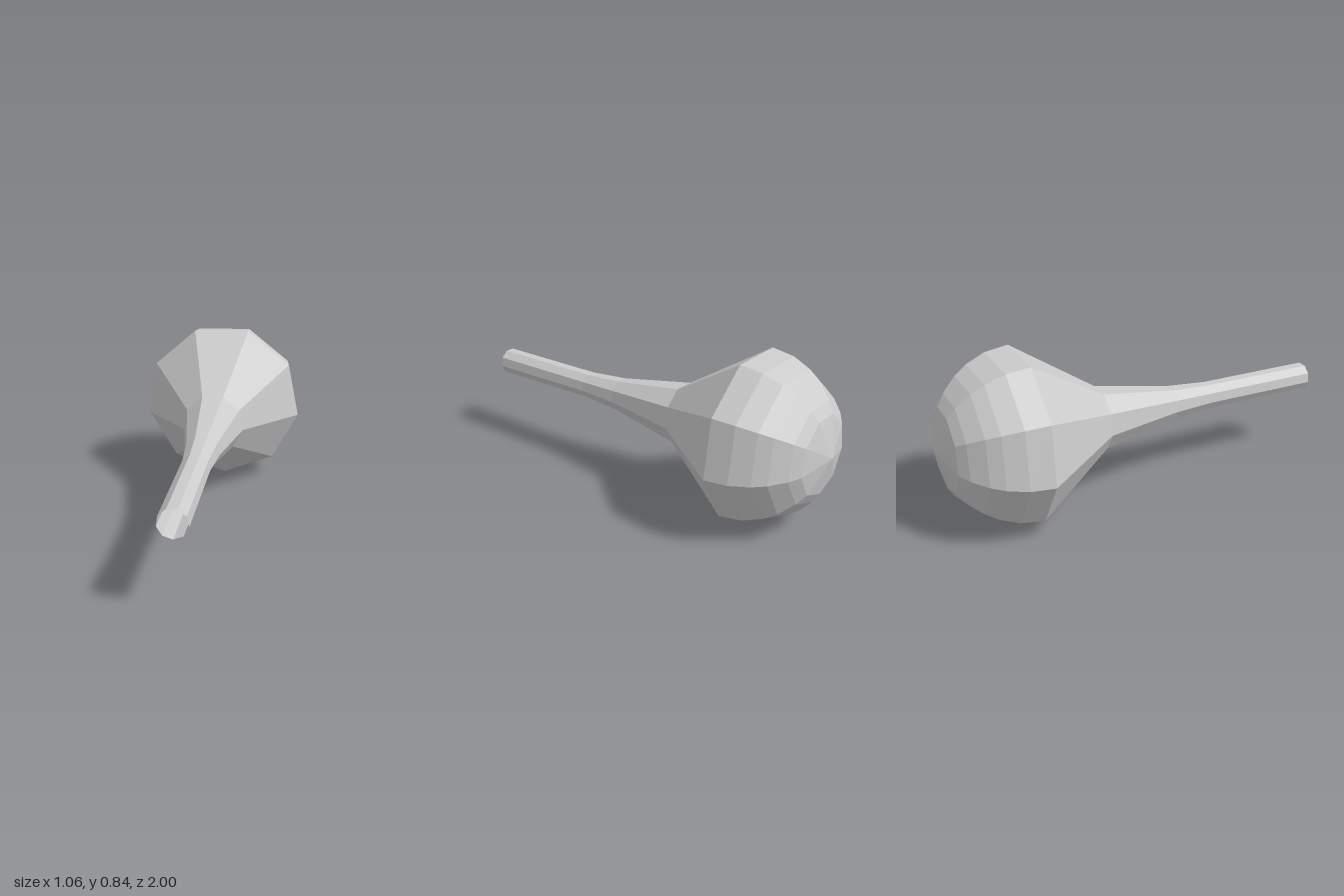
import * as THREE from 'three';

const SIDES = 9;
const deg = THREE.MathUtils.degToRad;

export function createModel() {
  const material = new THREE.MeshStandardMaterial({
    color: 0xcccccc, flatShading: true, side: THREE.DoubleSide,
  });
  const model = new THREE.Group();
  model.name = 'bulbWithTube';

  // Turned section around the long axis; each point is [radius, distance along axis]
  const addTurned = (name, profile) => {
    const points = profile.map(([r, s]) => new THREE.Vector2(r, s));
    const geometry = new THREE.LatheGeometry(points, SIDES, Math.PI - deg(1));
    const mesh = new THREE.Mesh(geometry, material);
    mesh.name = name;
    body.add(mesh);
  };

  // Axis runs from the open tube end (front) to the dome (back), centred on the widest ring
  const body = new THREE.Group();
  body.name = 'body';
  body.rotation.set(deg(-89.6), deg(-20.2), 0, 'YXZ');
  body.position.set(0.104, 0.439, -0.575);
  model.add(body);

  // Thin open tube that flares toward the bulb
  addTurned('tube', [[0.071, -1.65], [0.071, -1.035], [0.088, -0.82], [0.16, -0.413]]);

  // Cone that widens to the full bulb
  addTurned('shoulder', [[0.16, -0.413], [0.434, 0]]);

  // Rounded closed end
  const R = 0.434;
  const dome = [0, 16, 30, 40, 53, 62].map((a) => [R * Math.cos(deg(a)), R * Math.sin(deg(a))]);
  addTurned('dome', [...dome, [0, R]]);

  return model;
}
